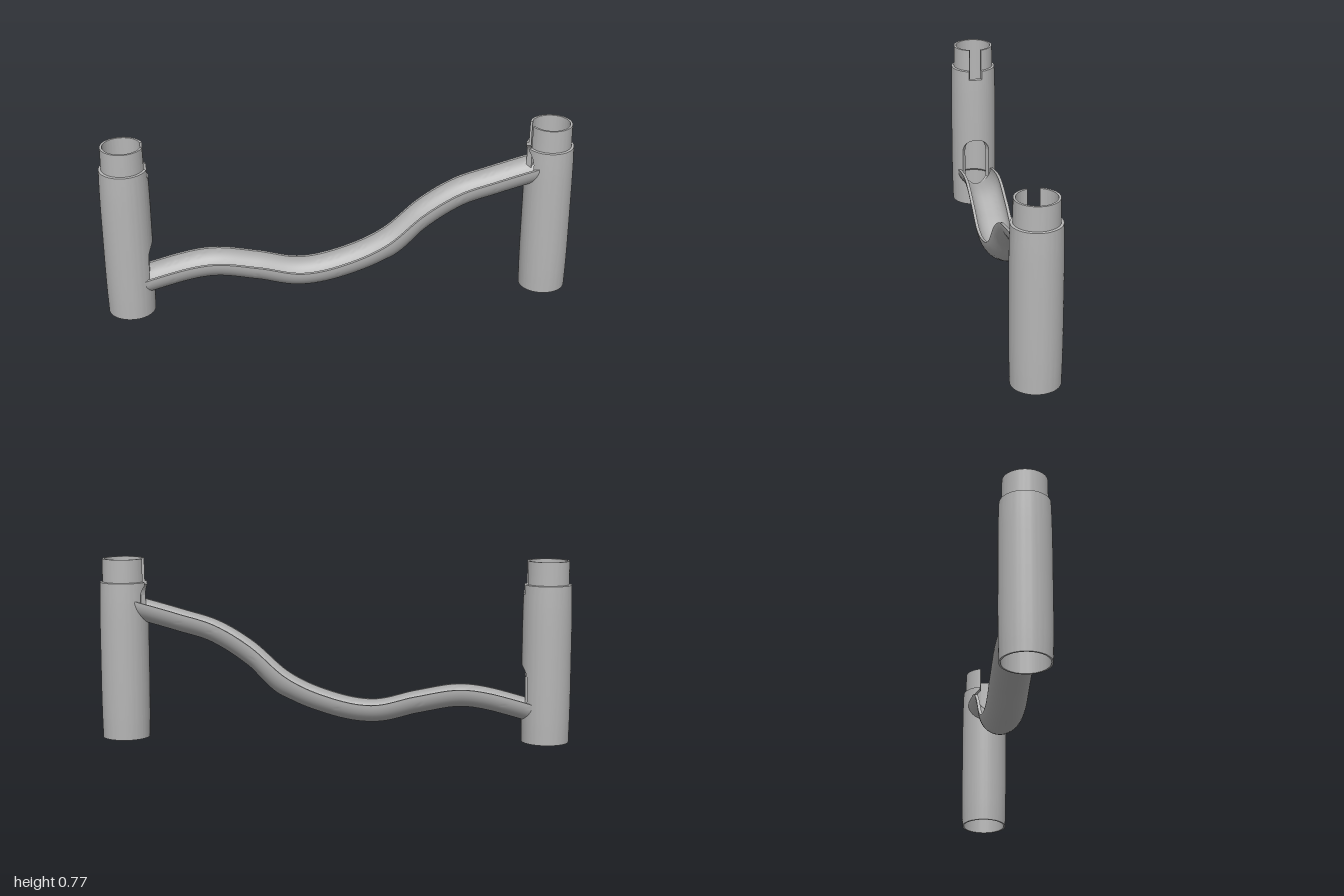
import * as THREE from 'three';
import { toCreasedNormals } from 'three/addons/utils/BufferGeometryUtils.js';

const CX = 0.897;            // tower axis distance from the middle
const WALL = 0.1;            // nominal tower radius
const HOLE = 0.06, SLOT = 0.03; // half widths of the ball opening and the top slot
const plastic = new THREE.MeshStandardMaterial({ color: 0xb6b6b6 });
plastic.name = 'grey plastic';

const half = (r, z) => Math.sqrt(Math.max(0, r * r - z * z));

// Piecewise linear lookup in [position, value] pairs
function lookup(table, p) {
  for (let i = 1; i < table.length; i++) {
    const [p0, v0] = table[i - 1], [p1, v1] = table[i];
    if (p <= p1) return v0 + (v1 - v0) * Math.max(0, (p - p0) / (p1 - p0));
  }
  return table[table.length - 1][1];
}

// Closed solid through rows of points; a row is its outer side, then its inner side reversed
function solid(rows) {
  const pos = [];
  const quad = (a, b, c, d) => [a, b, c, a, c, d].forEach((p) => pos.push(...p));
  const n = rows[0].length;
  for (let i = 0; i < rows.length - 1; i++) {
    for (let k = 0; k < n; k++) {
      const l = (k + 1) % n;
      quad(rows[i][k], rows[i + 1][k], rows[i + 1][l], rows[i][l]);
    }
  }
  const first = rows[0], last = rows[rows.length - 1];
  for (let k = 0; k < n / 2 - 1; k++) {
    quad(first[k], first[k + 1], first[n - 2 - k], first[n - 1 - k]);
    quad(last[n - 1 - k], last[n - 2 - k], last[k + 1], last[k]);
  }
  const g = new THREE.BufferGeometry();
  g.setAttribute('position', new THREE.Float32BufferAttribute(pos, 3));
  return toCreasedNormals(g, 0.6);
}

function part(name, geometry) {
  const m = new THREE.Mesh(geometry, plastic);
  m.name = name;
  return m;
}

// Tower radii by height: slightly bellied body, narrower neck, wide socket at the foot
const outerR = [[0, 0.1], [0.1, 0.1025], [0.2, 0.1035], [0.5, 0.1035], [0.59, 0.1025],
  [0.67, 0.1], [0.672, 0.09], [0.77, 0.0885]];
const innerR = [[0, 0.093], [0.1, 0.092], [0.11, 0.081], [0.77, 0.079]];
const levels = [0, 0.05, 0.1, 0.11, 0.2, 0.35, 0.5, 0.55, 0.59, 0.63, 0.67, 0.672, 0.77];

// Sector of tower wall between two angles, its bottom and top set per angle
function wall(a0, a1, steps, low, high) {
  const rows = [];
  for (let i = 0; i <= steps; i++) {
    const a = a0 + (a1 - a0) * i / steps, z = WALL * Math.sin(a);
    const lo = low(z), hi = high(z);
    const ys = levels.map((y) => Math.min(hi, Math.max(lo, y)));
    const ring = (table) => ys.map((y) => {
      const r = lookup(table, y);
      return [r * Math.cos(a), y, -r * Math.sin(a)];
    });
    rows.push([...ring(outerR), ...ring(innerR).reverse()]);
  }
  return solid(rows);
}

// Hollow tower with its opening towards +x
function tower(name, trackY, archY, slotBottom) {
  const g = new THREE.Group();
  g.name = name;
  const b = Math.asin(HOLE / WALL), a = Math.asin(SLOT / WALL);
  const foot = () => 0, top = () => 0.77;
  const sill = (z) => trackY - half(0.077, z);
  const arch = (z) => archY + half(HOLE, z);
  g.add(part('towerWall', wall(b, 2 * Math.PI - b, 64, foot, top)));
  g.add(part('wallBelowOpening', wall(-b, b, 24, foot, sill)));
  for (const s of [[-b, -a], [a, b]]) {
    g.add(part('wallBesideSlot', wall(s[0], s[1], 10, arch, top)));
  }
  if (slotBottom) g.add(part('wallBelowSlot', wall(-a, a, 14, arch, () => slotBottom)));
  return g;
}

// Height of the track's rims along x
const trackX = [-0.9, -0.8, -0.55, -0.35, -0.17, 0, 0.2, 0.35, 0.5, 0.65, 0.83, 1];
const trackY = [0.145, 0.18, 0.23, 0.2, 0.16, 0.187, 0.275, 0.405, 0.495, 0.542, 0.592, 0.635];
const spline = new THREE.CubicInterpolant(trackX, trackY, 1, [0]);
const rim = (x) => spline.evaluate(x)[0];

// Half-pipe that starts at one tower wall and runs on as the sloping floor of the other
function track() {
  const rows = [], steps = 110, arcs = 24;
  for (let i = 0; i <= steps; i++) {
    const arc = (r) => Array.from({ length: arcs + 1 }, (_, k) => {
      const t = Math.PI * k / arcs, z = -r * Math.cos(t);
      const start = -CX + half(0.09, z), end = CX + half(0.09, z);
      const x = start + (end - start) * i / steps;
      const slope = (rim(x + 0.005) - rim(x - 0.005)) / 0.01;
      return [x, rim(x) - r * Math.sin(t) * Math.hypot(1, slope), z];
    });
    rows.push([...arc(0.083), ...arc(0.07).reverse()]);
  }
  return part('track', solid(rows));
}

export function createModel() {
  const model = new THREE.Group();
  model.name = 'ballRunSection';
  const exitTower = tower('exitTower', 0.18, 0.27, 0.63);
  exitTower.position.x = -CX;
  const entryTower = tower('entryTower', 0.585, 0.605, 0);
  entryTower.position.x = CX;
  entryTower.rotation.y = Math.PI;
  model.add(exitTower, entryTower, track());
  return model;
}
